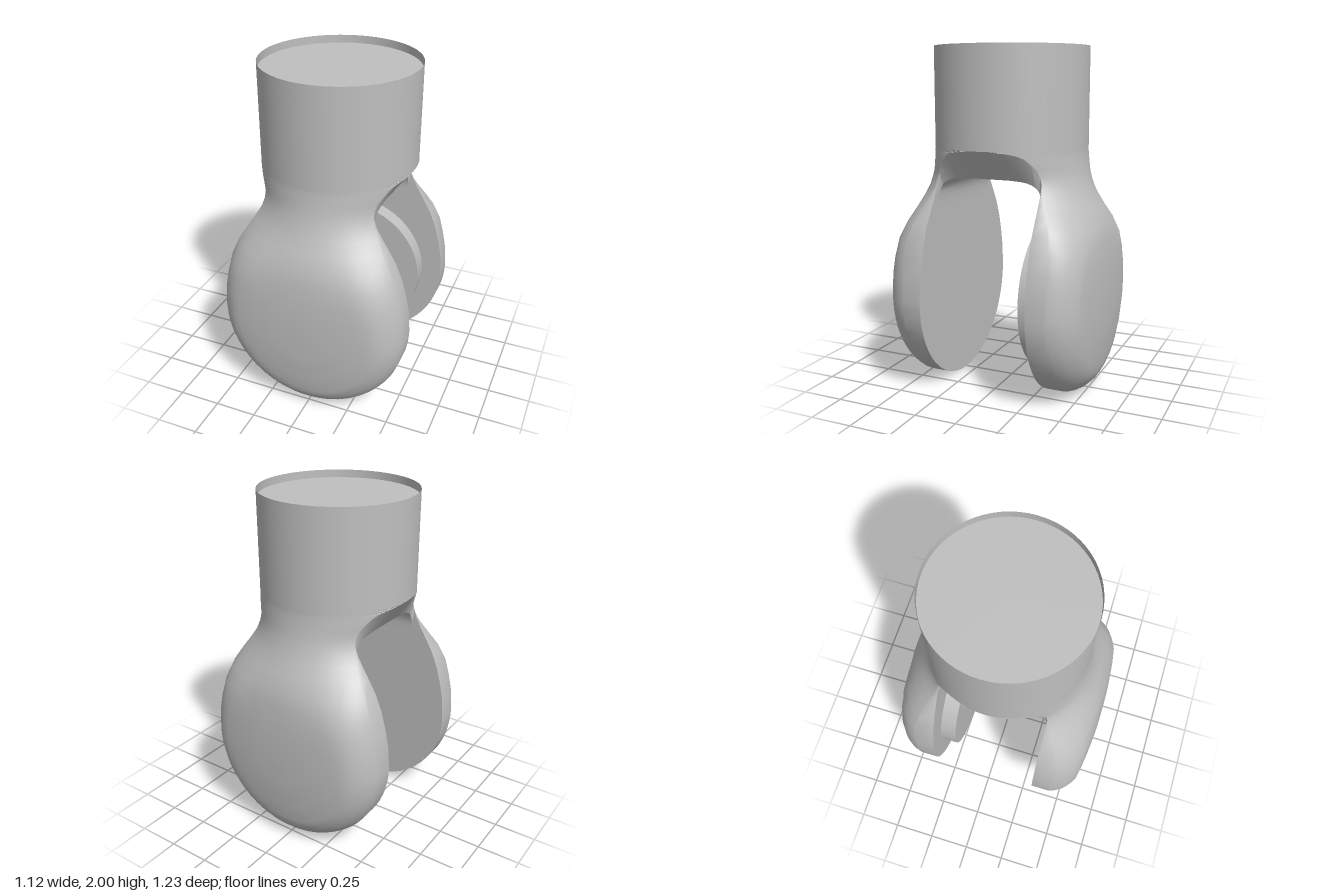
import * as THREE from 'three';
import { toCreasedNormals } from 'three/addons/utils/BufferGeometryUtils.js';

const C = 0.565;   // height of the pad centre
const R = 0.45;    // shaft radius
const COLS = 32;

// Pad thickness profile: [radius, z]
const PAD = [[0, 0.615], [0.2, 0.608], [0.35, 0.592], [0.44, 0.575], [0.49, 0.545], [0.53, 0.505], [0.553, 0.465], [0.565, 0.43]];
function padZ(r) {
  for (let i = 1; i < PAD.length; i++) {
    const [r0, z0] = PAD[i - 1], [r1, z1] = PAD[i];
    if (r <= r1) return THREE.MathUtils.mapLinear(r, r0, r1, z0, z1);
  }
  return 0.43;
}

// Rows above the pad centre: y, half width, outer z, slot-edge z, inner y, inner z
const UPPER = [
  [0.7, 0.55, 0.613, 0.32, 0.7, 0.32],
  [0.8, 0.53, 0.607, 0.32, 0.8, 0.32],
  [0.9, 0.503, 0.597, 0.32, 0.9, 0.32],
  [1.0, 0.462, 0.58, 0.32, 1.0, 0.32],
  [1.08, 0.415, 0.542, 0.32, 1.07, 0.32],
  [1.15, 0.372, 0.51, 0.32, 1.12, 0.32],
  [1.2, 0.345, 0.49, 0.32, 1.15, 0.318],
  [1.25, 0.328, 0.475, 0.32, 1.18, 0.313],
  [1.29, 0.326, 0.465, 0.31, 1.21, 0.3],
  [1.33, 0.34, 0.459, 0.295, 1.23, 0.285],
  [1.36, 0.36, 0.455, 0.27, 1.245, 0.26],
  [1.39, 0.38, 0.452, 0.24, 1.255, 0.23],
  [1.41, 0.403, 0.45, 0.2, 1.26, 0.2],
  [1.422, 0.434, 0.45, 0.12, 1.265, 0.12],
  [1.43, 0.45, 0.45, 0, 1.265, 0],
];

function armRows() {
  const rows = [];
  for (let i = 0; i <= 18; i++) {
    const a = (i / 18) * Math.PI / 2;
    const y = C - C * Math.cos(a);
    rows.push([y, Math.max(0.56 * Math.sin(a), 0.001), padZ(C - y), 0.32, y, 0.32]);
  }
  return rows.concat(UPPER);
}

// Outer skin of one arm at a given row, x increasing
function outerSection([y, w, d, zi]) {
  const k = Math.min(Math.abs(y - C), 0.54);
  const t = THREE.MathUtils.smoothstep(y, 0.9, 1.27);
  const h = d - zi, rad = (w * w + h * h) / (2 * h);
  const scale = h / (padZ(k) - 0.32);
  const pts = [[-w, y, zi]];
  for (let j = 0; j <= COLS; j++) {
    const q = Math.sin((j / COLS - 0.5) * Math.PI);
    const r = Math.sqrt(k * k + q * q * (C * C - k * k));
    const pad = zi + (padZ(Math.min(r, C)) - 0.32) * scale;
    const arc = d - rad + Math.sqrt(Math.max(rad * rad - q * q * w * w, 0));
    pts.push([q * w, y, THREE.MathUtils.lerp(pad, arc, t)]);
  }
  pts.push([w, y, zi]);
  return pts;
}

// Slot face and roof, with a flared edge at both sides, x decreasing
function innerSection([y, w, , zi, iy, iz]) {
  const x = Math.min(w * 0.97, 0.32);
  return [[w, y, zi], [x, iy, iz], [0, iy, iz], [-x, iy, iz], [-w, y, zi]];
}

function loft(sections, crease) {
  const n = sections[0].length, index = [];
  for (let i = 0; i < sections.length - 1; i++) {
    for (let j = 0; j < n - 1; j++) {
      const a = i * n + j, b = a + 1, c = a + n, e = c + 1;
      index.push(a, b, e, a, e, c);
    }
  }
  const g = new THREE.BufferGeometry();
  g.setAttribute('position', new THREE.Float32BufferAttribute(sections.flat(2), 3));
  g.setIndex(index);
  return toCreasedNormals(g, crease);
}

export function createModel() {
  const model = new THREE.Group();
  model.name = 'forkEnd';
  const grey = new THREE.MeshStandardMaterial({ color: 0xbfbfbf, side: THREE.DoubleSide });
  grey.name = 'grey';

  const add = (name, geometry, parent = model) => {
    const mesh = new THREE.Mesh(geometry, grey);
    mesh.name = name;
    parent.add(mesh);
    return mesh;
  };

  // Two identical arms, one turned to the back
  const rows = armRows();
  const skin = loft(rows.map(outerSection), 0.7);
  const slot = loft(rows.map(innerSection), 0.5);
  ['frontArm', 'backArm'].forEach((name, i) => {
    const arm = new THREE.Group();
    arm.name = name;
    arm.rotation.y = i * Math.PI;
    add('armSkin', skin, arm);
    add('slotFace', slot, arm);
    model.add(arm);
  });

  // Hollow shaft rim with a slightly sunken cap
  add('shaft', new THREE.CylinderGeometry(R, R, 0.57, 64, 1, true)).position.y = 1.715;
  const cap = add('shaftCap', new THREE.CircleGeometry(R - 0.002, 64));
  cap.rotation.x = -Math.PI / 2;
  cap.position.y = 1.955;

  // Round boss on the inside of the back arm
  const boss = add('boss', new THREE.CylinderGeometry(0.436, 0.436, 0.1, 64));
  boss.rotation.x = Math.PI / 2;
  boss.position.set(0, C, -0.275);

  return model;
}
